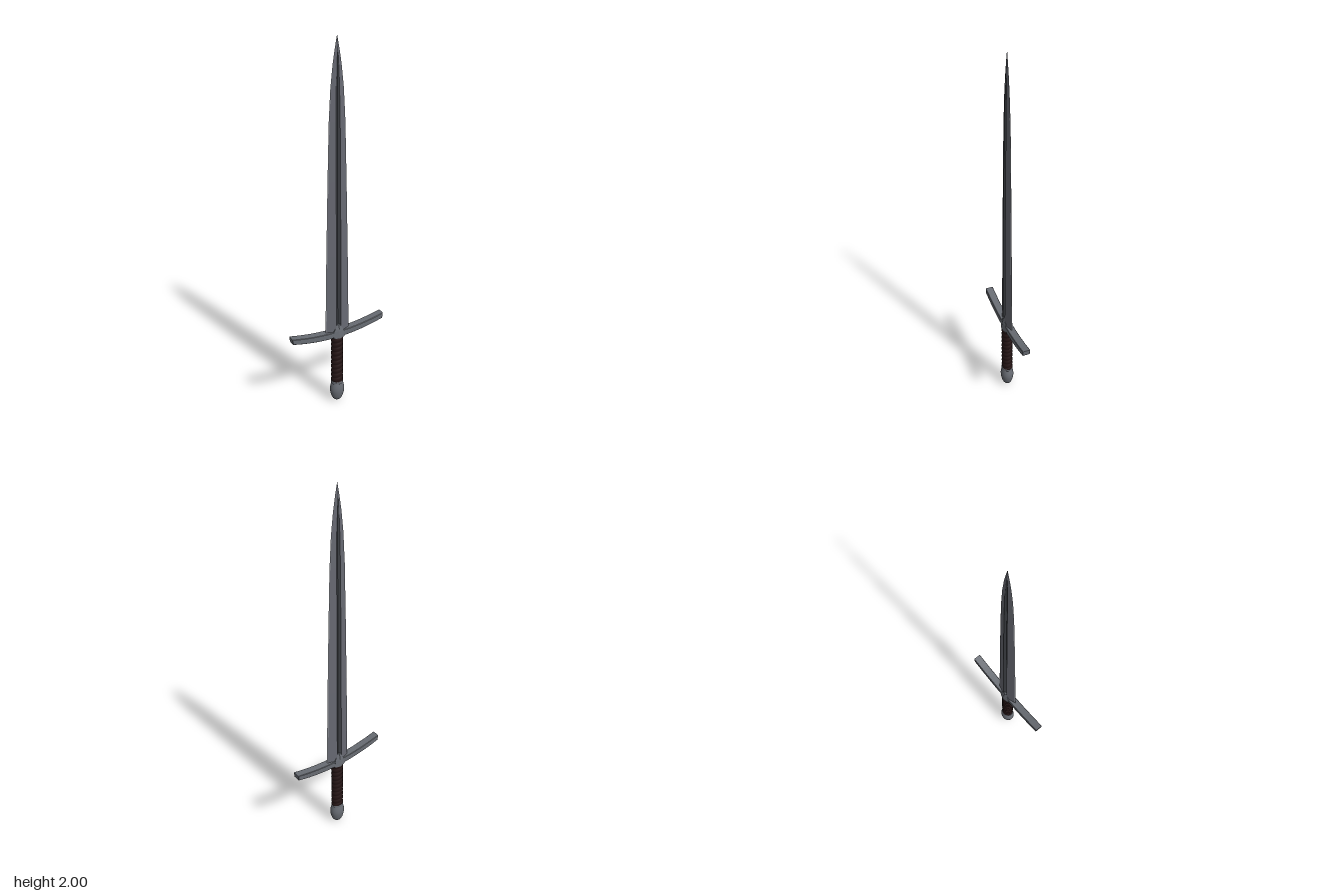
import * as THREE from 'three';

// Joins closed rings of [x, z] points, each at its own height, into a capped solid.
// slots, if given, repeats around the ring and picks each column's material.
function loft(rings, flat, slots = [0]) {
  const pos = [], idx = [], n = rings[0].pts.length, spans = rings.length - 1;
  let g = new THREE.BufferGeometry();
  for (const { y, pts } of rings) for (const [x, z] of pts) pos.push(x, y, z);
  for (let j = 0; j < n; j++) {
    g.addGroup(idx.length, spans * 6, slots[j % slots.length]);
    for (let i = 0; i < spans; i++) {
      const a = i * n + j, b = i * n + (j + 1) % n;
      idx.push(a, a + n, b, b, a + n, b + n);
    }
  }
  const last = spans * n, low = pos.length / 3;
  pos.push(0, rings[0].y, 0, 0, rings[spans].y, 0);
  g.addGroup(idx.length, n * 6, 0);
  for (let j = 0; j < n; j++) {
    const k = (j + 1) % n;
    idx.push(low, j, k, low + 1, last + k, last + j);
  }
  g.setAttribute('position', new THREE.Float32BufferAttribute(pos, 3));
  g.setIndex(idx);
  if (flat) g = g.toNonIndexed();
  g.computeVertexNormals();
  return g;
}

// Blade section: thin edges, two ridges and a grooved centre on each face.
function bladeSection(w, t, f, groove) {
  const e = w * 0.93, b = t * 0.18;
  const half = [[w, 0], [e, b], [f, t], [0, t * groove], [-f, t], [-e, b]];
  return [...half, [-w, 0], ...half.slice(1).reverse().map(([x, z]) => [x, -z])];
}

export function createModel() {
  const mat = (name, color) => new THREE.MeshStandardMaterial({ name, color });
  const bladeSteel = mat('blade steel', 0x686a73);
  const edgeSteel = mat('bright edge steel', 0x94979d);
  const grooveSteel = mat('dark groove steel', 0x3e4146);
  const hiltSteel = mat('hilt steel', 0x686c73);
  const leather = mat('dark leather', 0x251515);
  const sword = new THREE.Group();
  sword.name = 'sword';
  const add = (name, geometry, material) => {
    const mesh = new THREE.Mesh(geometry, material);
    mesh.name = name;
    sword.add(mesh);
    return mesh;
  };

  // Blade: height, half width, half thickness, half groove width, groove floor
  const stations = [
    [0.44, 0.069, 0.019, 0.014, 0.4], [0.9, 0.061, 0.016, 0.013, 0.4],
    [1.3, 0.052, 0.013, 0.012, 0.4], [1.6, 0.044, 0.01, 0.011, 0.4],
    [1.76, 0.035, 0.0075, 0.009, 0.45], [1.87, 0.023, 0.005, 0.006, 0.6],
    [1.94, 0.012, 0.0035, 0.002, 1], [2.0, 0.0005, 0.0005, 0.0001, 1],
  ];
  add('blade', loft(
    stations.map(([y, ...s]) => ({ y, pts: bladeSection(...s) })), true, [1, 0, 2, 2, 0, 1],
  ), [bladeSteel, edgeSteel, grooveSteel]);

  // Crossguard: upswept bar with slightly bevelled edges
  const bar = new THREE.Shape();
  bar.moveTo(-0.264, 0.455);
  bar.quadraticCurveTo(0, 0.381, 0.264, 0.455);
  bar.lineTo(0.267, 0.482);
  bar.quadraticCurveTo(0, 0.416, -0.267, 0.482);
  bar.closePath();
  const barGeo = new THREE.ExtrudeGeometry(bar, {
    depth: 0.037, bevelThickness: 0.002, bevelSize: 0.002, bevelSegments: 1, curveSegments: 16,
  });
  barGeo.translate(0, 0, -0.0185);
  add('crossguard', barGeo, hiltSteel);

  // Wedge-fronted block at the middle of the guard
  const block = (y, w, s, t) => ({ y, pts: [[w, s], [0, t], [-w, s], [-w, -s], [0, -t], [w, -s]] });
  add('guardBlock', loft([
    block(0.414, 0.032, 0.023, 0.032), block(0.455, 0.028, 0.02, 0.027), block(0.492, 0.01, 0.016, 0.02),
  ], true), hiltSteel);

  // Grip: oval core with a spiral leather wrap
  const gripRings = [], sides = 20, steps = 100;
  for (let i = 0; i <= steps; i++) {
    const y = 0.125 + 0.293 * i / steps, pts = [];
    for (let j = 0; j < sides; j++) {
      const a = j / sides * Math.PI * 2;
      const r = 0.03 + 0.004 * Math.abs(Math.sin(Math.PI * (y / 0.028 + j / sides)));
      pts.push([Math.cos(a) * r, Math.sin(a) * r * 0.86]);
    }
    gripRings.push({ y, pts });
  }
  add('grip', loft(gripRings, false), leather);

  // Pommel and its collar, oval in plan
  const turned = (name, profile) => {
    const curve = new THREE.SplineCurve(profile.map(([r, y]) => new THREE.Vector2(r, y)));
    const points = curve.getPoints(24);
    points.forEach(p => { p.x = Math.max(p.x, 0); });
    add(name, new THREE.LatheGeometry(points, 28), hiltSteel).scale.z = 0.86;
  };
  turned('pommel', [[0, 0], [0.018, 0.005], [0.031, 0.025], [0.039, 0.055], [0.04, 0.08], [0.034, 0.106], [0.027, 0.118], [0, 0.12]]);
  turned('pommelCollar', [[0, 0.112], [0.03, 0.113], [0.034, 0.121], [0.03, 0.129], [0, 0.13]]);

  return sword;
}
